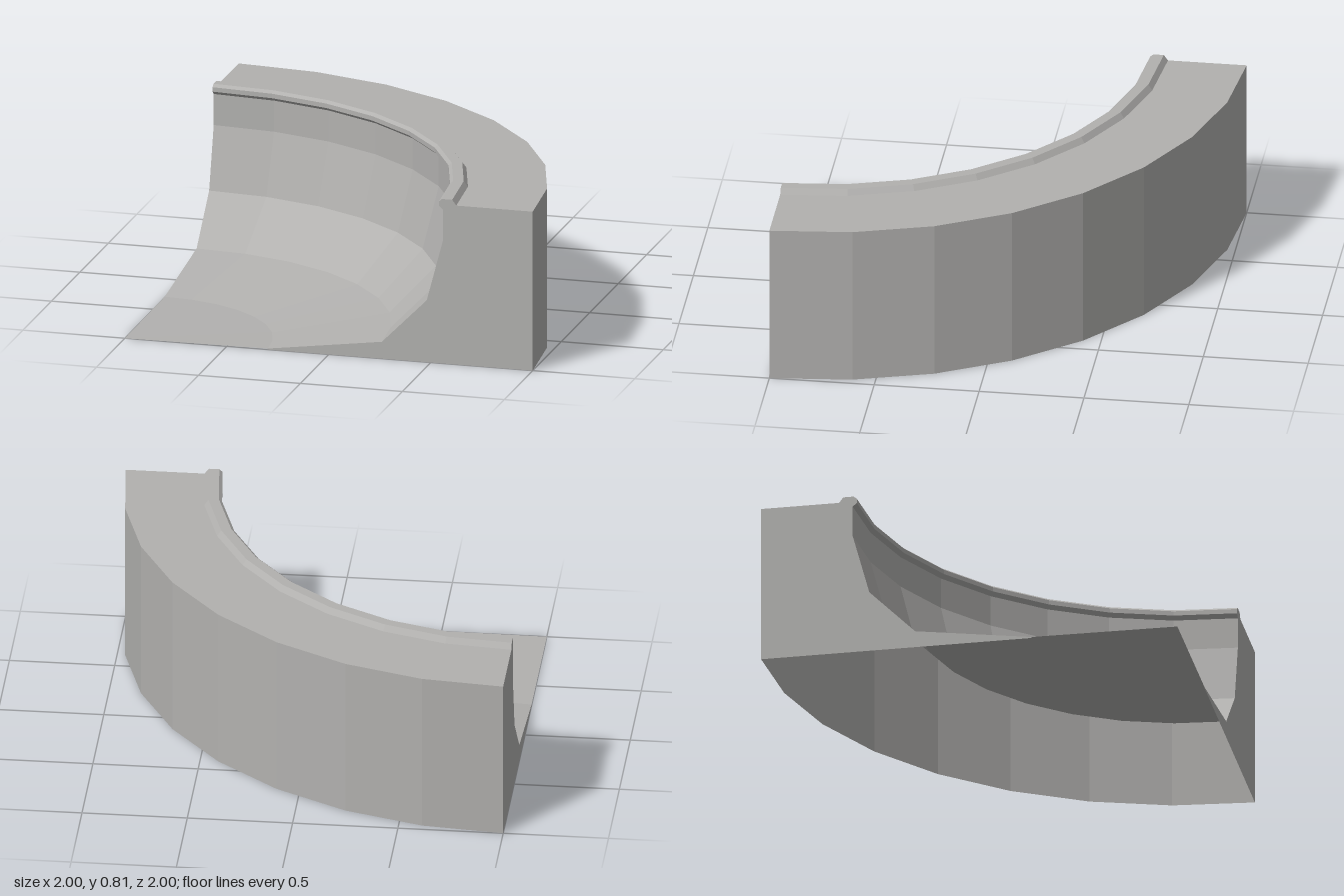
import * as THREE from 'three';

const SEGMENTS = 8;

export function createModel() {
  const model = new THREE.Group();
  model.name = 'quarterBowlRamp';
  const concrete = new THREE.MeshStandardMaterial({ color: 0xb2b1af, flatShading: true, side: THREE.DoubleSide });
  concrete.name = 'concrete grey';

  // Everything is swept a quarter turn around the front left corner of the plan
  const sweep = new THREE.Group();
  sweep.name = 'sweep';
  sweep.position.set(-1, 0, 1);
  model.add(sweep);

  const points = (list) => list.map(([r, y]) => new THREE.Vector2(r, y));
  const add = (name, geometry) => {
    const mesh = new THREE.Mesh(geometry, concrete);
    mesh.name = name;
    sweep.add(mesh);
  };
  const quarter = (name, profile) =>
    add(name, new THREE.LatheGeometry(points(profile), SEGMENTS, Math.PI / 2, Math.PI / 2));

  // Flat end faces: one looking to the front, one to the side
  const ends = (name, outline) => {
    add(name + 'Front', new THREE.ShapeGeometry(new THREE.Shape(points(outline))));
    const mirrored = outline.map(([r, y]) => [-r, y]);
    add(name + 'Side', new THREE.ShapeGeometry(new THREE.Shape(points(mirrored))).rotateY(-Math.PI / 2));
  };

  // Profiles as [radius, height]; the underside stays open
  const outer = [[2, 0], [2, 0.783], [1.56, 0.783]];
  const bowl = [[1.56, 0.783], [1.56, 0.605], [1.48, 0.305], [1.26, 0.083], [0.7, 0.005]];
  const coping = [[1.625, 0.783], [1.605, 0.81], [1.555, 0.81], [1.54, 0.797], [1.54, 0.775], [1.56, 0.758]];

  quarter('outerWallAndDeck', outer);
  quarter('bowlWall', bowl);
  quarter('bowlFloor', [[0.7, 0.005], [0, 0]]);
  quarter('coping', coping);

  ends('endFace', [...outer, ...bowl.slice(1), [0.7, 0]]);
  ends('copingEnd', [...coping, [1.56, 0.783]]);

  return model;
}
